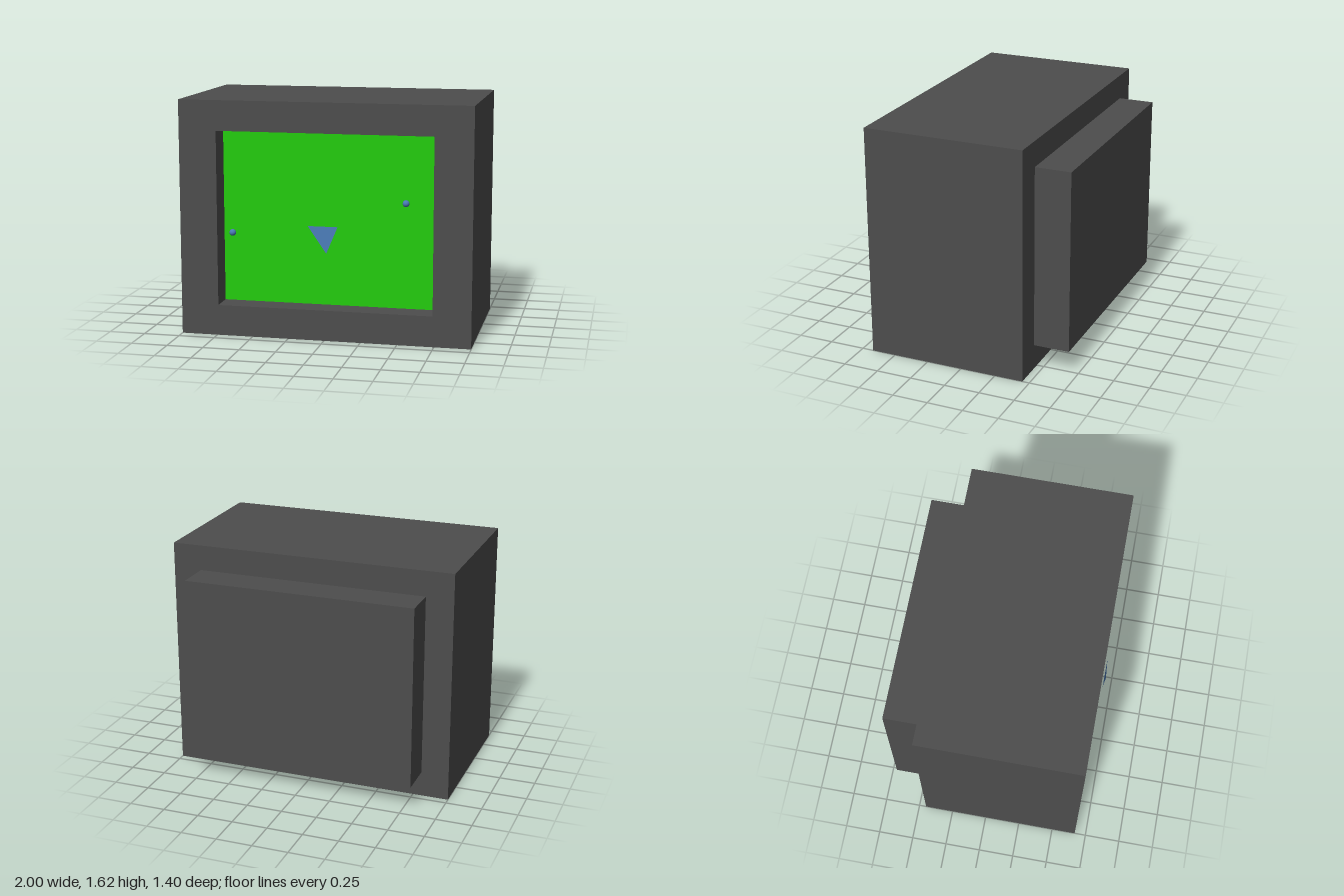
import * as THREE from 'three';

export function createModel() {
  const model = new THREE.Group();
  model.name = 'monitor';

  const material = (name, color, side = THREE.FrontSide) => {
    const m = new THREE.MeshStandardMaterial({ color, side });
    m.name = name;
    return m;
  };
  const grey = material('casing grey', 0x4d4d4d);
  const green = material('screen green', 0x24cc0e);
  const blue = material('marker blue', 0x4a7ab5, THREE.DoubleSide);

  const add = (name, geometry, mat, x = 0, y = 0, z = 0) => {
    const mesh = new THREE.Mesh(geometry, mat);
    mesh.name = name;
    mesh.position.set(x, y, z);
    model.add(mesh);
  };
  const polygon = (points, Type = THREE.Shape) =>
    new Type(points.map(([x, y]) => new THREE.Vector2(x, y)));

  // Casing with a rectangular screen opening
  const outline = polygon([[-1, 0], [1, 0], [1, 1.616], [-1, 1.616]]);
  outline.holes.push(polygon(
    [[-0.74, 0.21], [-0.74, 1.41], [0.74, 1.41], [0.74, 0.21]], THREE.Path));
  add('casing', new THREE.ExtrudeGeometry(outline, { depth: 1.12, bevelEnabled: false }),
    grey, 0, 0, -0.45);

  // Smaller rear housing that closes the back of the casing
  add('rearHousing', new THREE.BoxGeometry(1.61, 1.265, 0.25), grey, -0.003, 0.808, -0.575);

  // Recessed screen
  add('screen', new THREE.PlaneGeometry(1.48, 1.2), green, 0, 0.81, 0.5);

  // Small balls floating in the recess
  const ball = new THREE.SphereGeometry(0.023, 24, 16);
  add('rightBall', ball, blue, -0.643, 0.713, 0.628);
  add('leftBall', ball, blue, 0.547, 0.953, 0.615);

  // Thin triangle hovering in front, its point tilted forward
  const triangle = new THREE.BufferGeometry();
  triangle.setAttribute('position', new THREE.Float32BufferAttribute(
    [-0.105, 0.79, 0.686, 0.025, 0.61, 0.7, 0.1, 0.79, 0.688], 3));
  triangle.computeVertexNormals();
  add('triangle', triangle, blue);

  return model;
}
